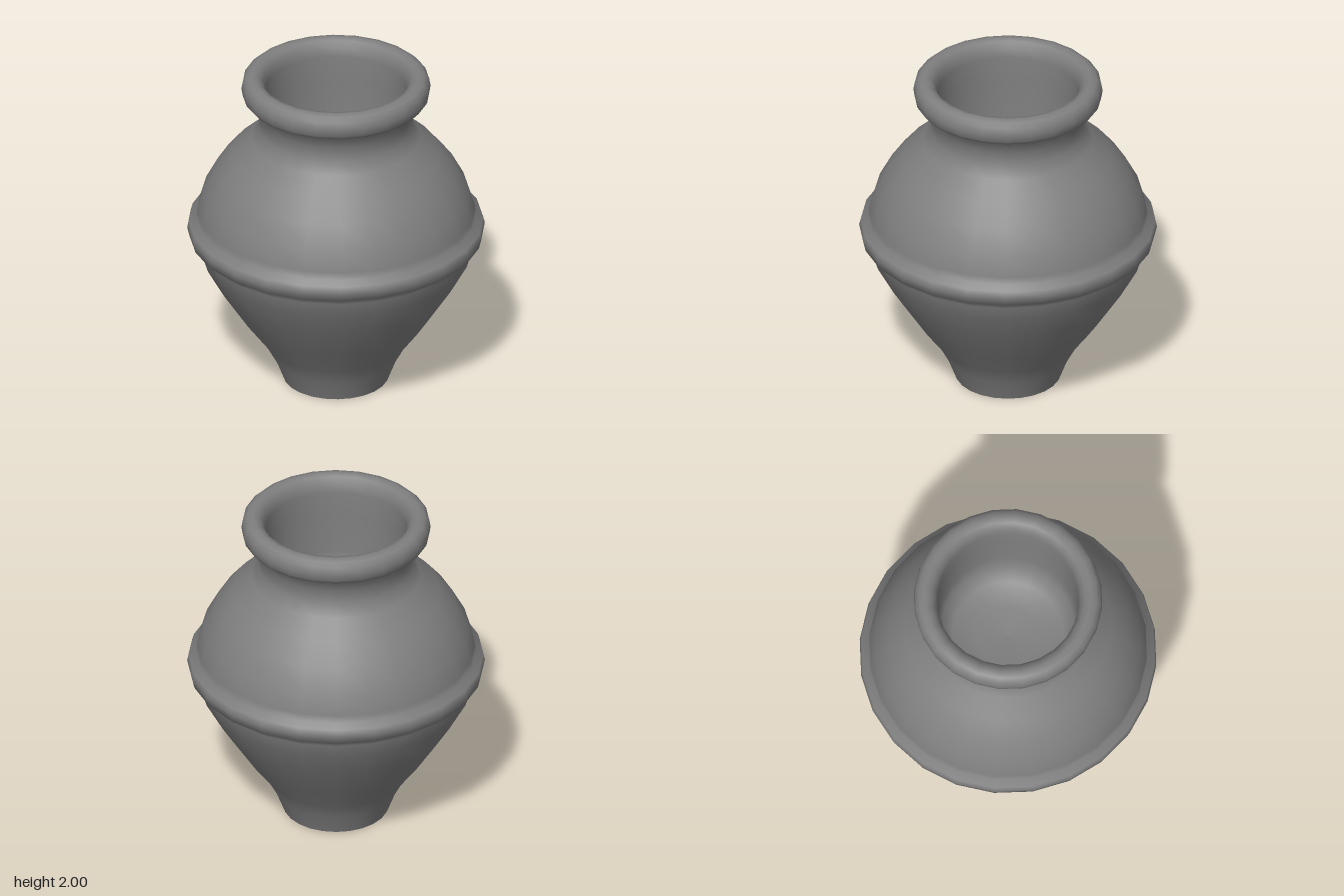
import * as THREE from 'three';

const SIDES = 24;
const START = -0.06; // small turn of the facets about the axis

function turned(name, profile, material) {
  const points = profile.map(([r, y]) => new THREE.Vector2(r, y));
  const mesh = new THREE.Mesh(new THREE.LatheGeometry(points, SIDES, START), material);
  mesh.name = name;
  return mesh;
}

export function createModel() {
  const group = new THREE.Group();
  group.name = 'urn';
  const clay = new THREE.MeshStandardMaterial({ color: 0x7f7f7f, side: THREE.DoubleSide });

  // profile sections, followed from the foot up over the rim and down inside
  const lowerBody = [
    [0.31, 0], [0.36, 0.13], [0.42, 0.24], [0.54, 0.4],
    [0.69, 0.63], [0.79, 0.81], [0.818, 0.9],
  ];
  const band = [
    [0.825, 0.93], [0.865, 0.945], [0.878, 1.0], [0.868, 1.04], [0.825, 1.065],
  ];
  const shoulderAndNeck = [
    [0.82, 1.11], [0.785, 1.23], [0.71, 1.37], [0.61, 1.49],
    [0.5, 1.59], [0.453, 1.66], [0.453, 1.75], [0.495, 1.845],
  ];
  const rim = [
    [0.53, 1.85], [0.551, 1.875], [0.558, 1.92], [0.55, 1.965],
    [0.525, 1.99], [0.49, 2.0], [0.455, 1.99], [0.428, 1.955],
  ];
  const interior = [
    [0.417, 1.9], [0.415, 1.75], [0.415, 1.5], [0.4, 1.38],
    [0.33, 1.31], [0.18, 1.28], [0, 1.27],
  ];

  // one continuous smooth wall
  group.add(turned('vesselWall', [
    ...lowerBody, ...band, ...shoulderAndNeck, ...rim, ...interior,
  ], clay));

  // flat underside with a sharp foot edge
  group.add(turned('base', [[0, 0], [0.31, 0]], clay));

  return group;
}
